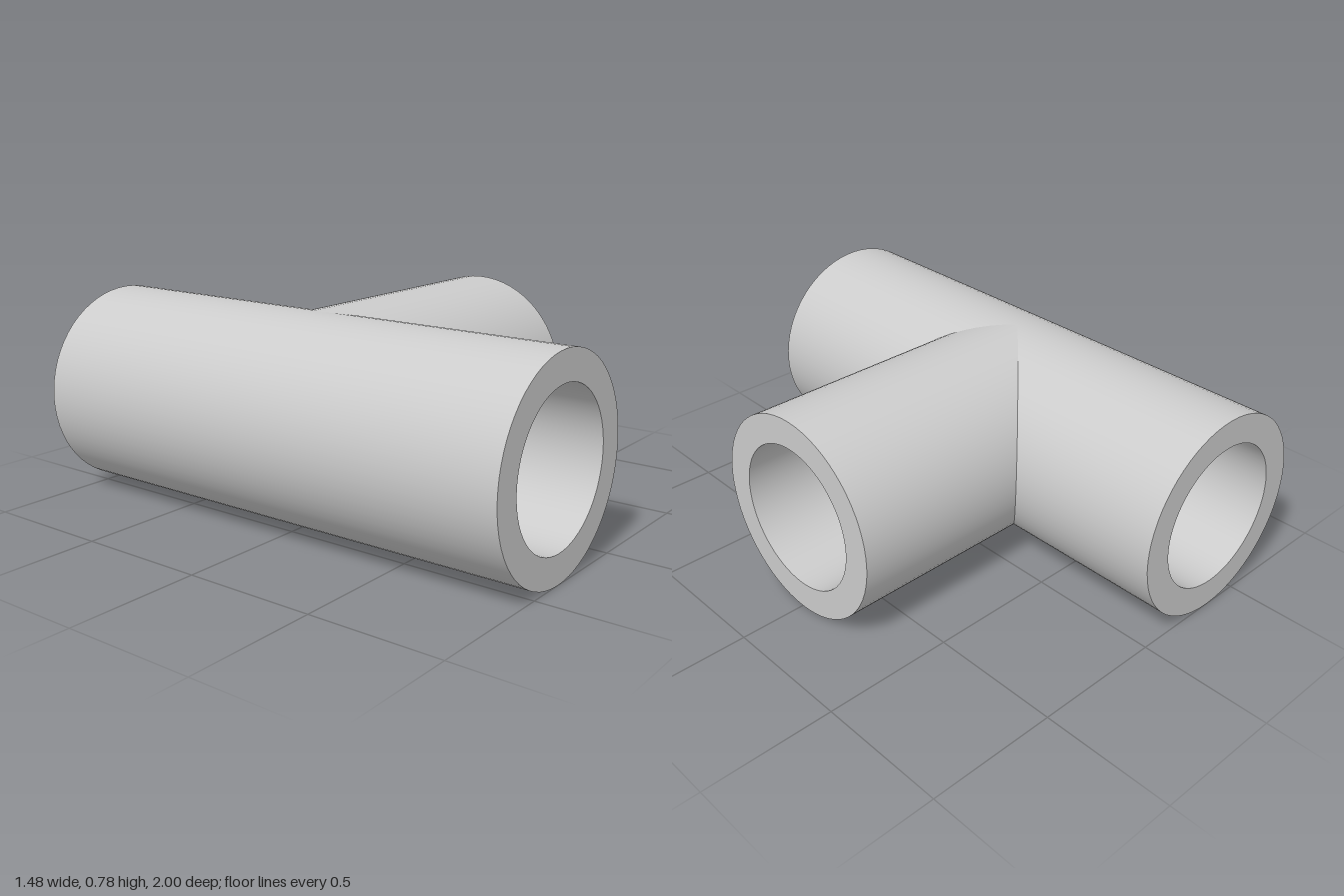
import * as THREE from 'three';

const OUTER = 0.39, BORE = 0.28, RUN_END = 1, BRANCH_END = 1.09, SIDES = 64;

// Tube wall around local z; from/to give its two ends for the cosine of each angle.
function wall(radius, from, to, inward) {
  const pos = [], nor = [], idx = [], s = inward ? -1 : 1;
  for (let i = 0; i <= SIDES; i++) {
    const a = (i / SIDES) * Math.PI * 2, c = Math.cos(a), n = Math.sin(a);
    for (const t of [from(radius * c), to(radius * c)]) {
      pos.push(radius * c, radius * n, t);
      nor.push(s * c, s * n, 0);
    }
    if (i < SIDES) {
      const A = 2 * i, C = A + 1, B = A + 2, D = A + 3;
      idx.push(...(inward ? [A, C, B, B, C, D] : [A, B, C, B, D, C]));
    }
  }
  const g = new THREE.BufferGeometry();
  g.setAttribute('position', new THREE.Float32BufferAttribute(pos, 3));
  g.setAttribute('normal', new THREE.Float32BufferAttribute(nor, 3));
  g.setIndex(idx);
  return g;
}

export function createModel() {
  const model = new THREE.Group();
  model.name = 'pipeTee';
  const material = new THREE.MeshStandardMaterial({ color: 0xcccccc });
  const add = (name, geometry) => {
    const mesh = new THREE.Mesh(geometry, material);
    mesh.name = name;
    model.add(mesh);
  };
  const rim = () => new THREE.RingGeometry(BORE, OUTER, SIDES, 1);

  // Equal radii meet along 45 degree mitres, both outside and in the bore
  const mitre = (x) => Math.max(0, x);
  for (const [radius, label, inward] of [[OUTER, 'Outside', false], [BORE, 'Bore', true]]) {
    add('frontRun' + label, wall(radius, mitre, () => RUN_END, inward));
    add('backRun' + label, wall(radius, () => -RUN_END, (x) => -mitre(x), inward));
    add('branch' + label, wall(radius, Math.abs, () => BRANCH_END, inward).rotateY(Math.PI / 2));
  }

  // Flat annular ends
  add('frontRim', rim().translate(0, 0, RUN_END));
  add('backRim', rim().translate(0, 0, RUN_END).rotateY(Math.PI));
  add('branchRim', rim().translate(0, 0, BRANCH_END).rotateY(Math.PI / 2));

  for (const mesh of model.children) mesh.position.set(-0.35, OUTER, 0);
  return model;
}
